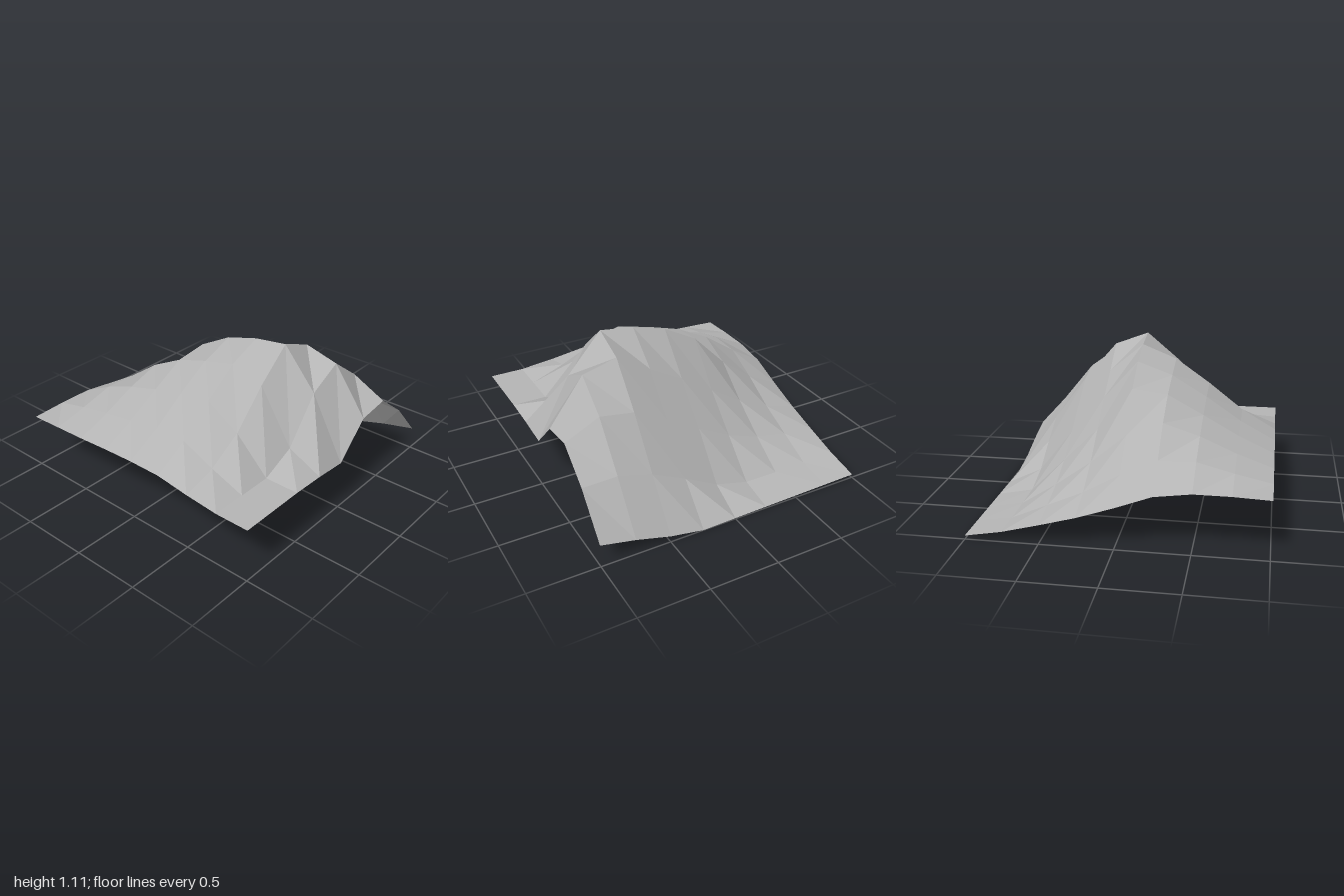
import * as THREE from 'three';

// Heights on a 9 x 9 grid: rows run from back (z = -1) to front (z = 1), columns from x = -1 to x = 1.
const HEIGHTS = [
  [0.025, 0.02, 0.015, 0.01, 0.005, 0, 0.045, 0.115, 0.17],
  [0.07, 0.06, 0.06, 0.06, 0.125, 0.26, 0.38, 0.45, 0.445],
  [0.135, 0.17, 0.22, 0.31, 0.44, 0.58, 0.72, 0.76, 0.635],
  [0.205, 0.28, 0.4, 0.56, 0.72, 0.86, 1.01, 0.945, 0.605],
  [0.29, 0.42, 0.61, 0.865, 1.0, 1.07, 1.105, 0.82, 0.365],
  [0.385, 0.535, 0.71, 0.835, 0.91, 0.97, 0.895, 0.505, 0.385],
  [0.42, 0.54, 0.63, 0.7, 0.76, 0.795, 0.64, 0.395, 0.395],
  [0.42, 0.475, 0.52, 0.56, 0.59, 0.6, 0.49, 0.395, 0.395],
  [0.41, 0.42, 0.43, 0.445, 0.455, 0.455, 0.42, 0.395, 0.395],
];

// Faceted ground sheet, each cell split from its back left to its front right corner.
function terrainGeometry(rows) {
  const n = rows.length;
  const step = 2 / (n - 1);
  const positions = [];
  const index = [];
  rows.forEach((row, j) => row.forEach((y, i) => positions.push(i * step - 1, y, j * step - 1)));
  for (let j = 0; j < n - 1; j++) {
    for (let i = 0; i < n - 1; i++) {
      const a = j * n + i;
      const b = a + n;
      index.push(a, b, b + 1, a, b + 1, a + 1);
    }
  }
  const geometry = new THREE.BufferGeometry();
  geometry.setAttribute('position', new THREE.Float32BufferAttribute(positions, 3));
  geometry.setIndex(index);
  const faceted = geometry.toNonIndexed();
  faceted.computeVertexNormals();
  return faceted;
}

export function createModel() {
  const rock = new THREE.MeshStandardMaterial({ color: 0xb4b4b4, flatShading: true, side: THREE.DoubleSide });
  rock.name = 'rock grey';

  const hill = new THREE.Mesh(terrainGeometry(HEIGHTS), rock);
  hill.name = 'hillside';

  const model = new THREE.Group();
  model.name = 'hill';
  model.add(hill);
  return model;
}
